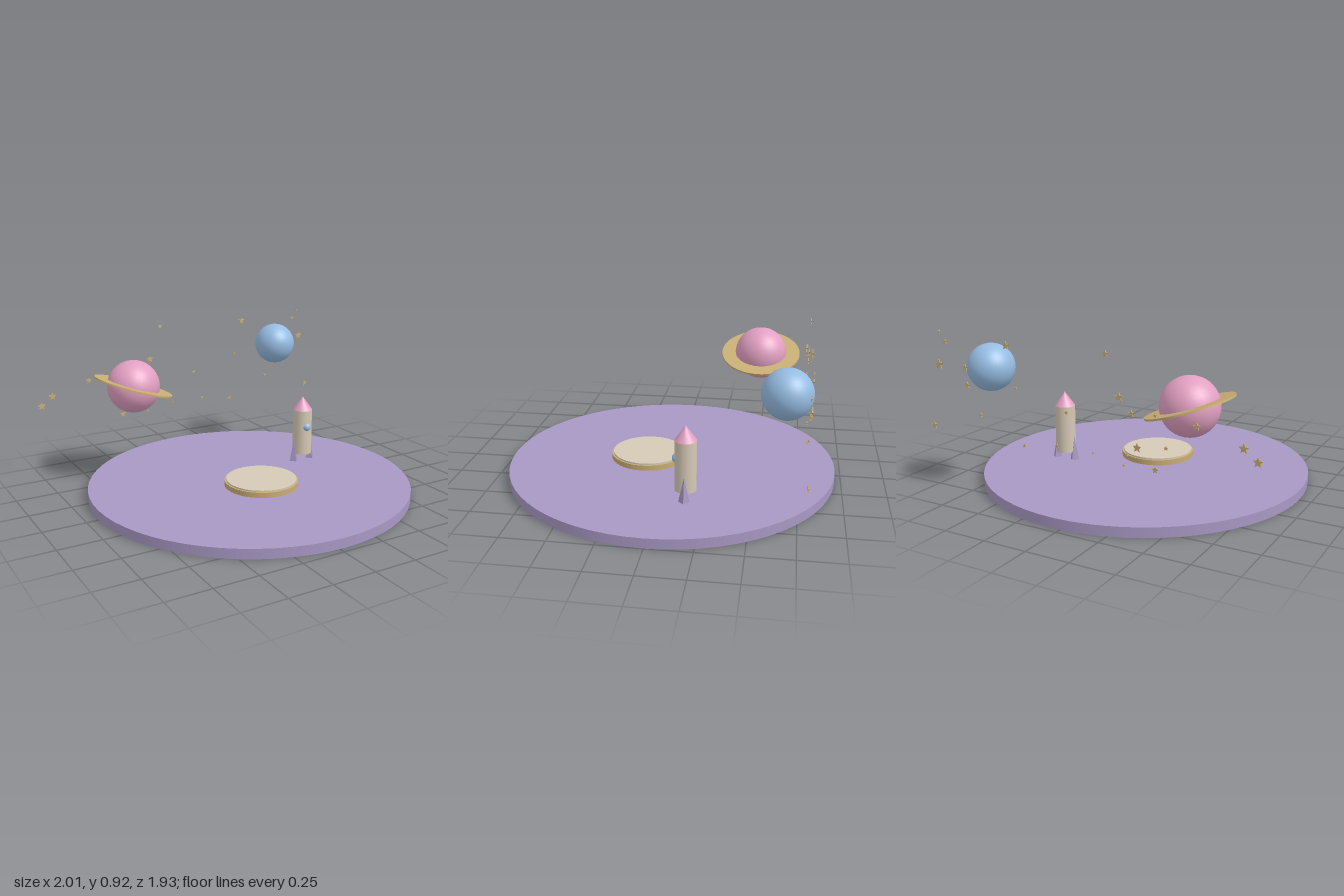
import * as THREE from 'three';

const material = (name, color) => {
  const m = new THREE.MeshStandardMaterial({ color });
  m.name = name;
  return m;
};

export function createModel() {
  const purple = material('lavender', 0xa898c4);
  const pink = material('pink', 0xe2a0c2);
  const blue = material('sky blue', 0x96bce2);
  const gold = material('gold', 0xc9ad74);
  const cream = material('cream', 0xd6c9b6);

  const model = new THREE.Group();
  model.name = 'spaceDiorama';

  const add = (parent, name, geometry, mat, x = 0, y = 0, z = 0) => {
    const mesh = new THREE.Mesh(geometry, mat);
    mesh.name = name;
    mesh.position.set(x, y, z);
    parent.add(mesh);
    return mesh;
  };
  const group = (name, x, y, z) => {
    const g = new THREE.Group();
    g.name = name;
    g.position.set(x, y, z);
    model.add(g);
    return g;
  };

  // Round base
  add(model, 'base', new THREE.CylinderGeometry(0.965, 0.965, 0.057, 64), purple, 0.035, 0.0285, 0);

  // Podium hovering just above the base
  const podium = group('podium', 0.033, 0, 0.144);
  add(podium, 'podiumRim', new THREE.CylinderGeometry(0.218, 0.218, 0.031, 48), gold, 0, 0.0875, 0);
  add(podium, 'podiumTop', new THREE.CylinderGeometry(0.208, 0.208, 0.022, 48), cream, 0, 0.101, 0);

  // Rocket with a nose cone, a porthole and two pyramid fins
  const rocket = group('rocket', 0.518, 0, -0.146);
  add(rocket, 'rocketBody', new THREE.CylinderGeometry(0.061, 0.061, 0.288, 24), cream, 0, 0.247, 0);
  add(rocket, 'noseCone', new THREE.ConeGeometry(0.061, 0.085, 24), pink, 0, 0.4335, 0);
  add(rocket, 'porthole', new THREE.SphereGeometry(0.028, 20, 14), blue, 0, 0.285, 0.047);
  const finGeometry = new THREE.ConeGeometry(0.031, 0.143, 4).toNonIndexed();
  finGeometry.computeVertexNormals();
  for (const [side, name] of [[-1, 'rightFin'], [1, 'leftFin']]) {
    add(rocket, name, finGeometry, purple, side * 0.062, 0.1275, 0);
  }

  // Ringed planet
  const ringed = group('ringedPlanet', -0.492, 0.597, -0.491);
  ringed.rotation.z = -0.313;
  add(ringed, 'planetBall', new THREE.SphereGeometry(0.16, 32, 20), pink);
  const ringShape = new THREE.Shape().absarc(0, 0, 0.243, 0, Math.PI * 2);
  ringShape.holes.push(new THREE.Path().absarc(0, 0, 0.155, 0, Math.PI * 2, true));
  const ringGeometry = new THREE.ExtrudeGeometry(ringShape, { depth: 0.01, bevelEnabled: false, curveSegments: 48 });
  ringGeometry.translate(0, 0, -0.005).rotateX(-Math.PI / 2);
  add(ringed, 'planetRing', ringGeometry, gold);

  // Small plain planet
  add(model, 'bluePlanet', new THREE.SphereGeometry(0.133, 32, 20), blue, 0.635, 0.718, -0.671);

  // Backdrop of thin five-pointed stars: x, y, radius
  const starShape = new THREE.Shape();
  for (let i = 0; i < 10; i++) {
    const r = i % 2 ? 0.45 : 1;
    const a = Math.PI / 2 + (i * Math.PI) / 5;
    starShape[i ? 'lineTo' : 'moveTo'](r * Math.cos(a), r * Math.sin(a));
  }
  starShape.closePath();
  const starGeometry = new THREE.ExtrudeGeometry(starShape, { depth: 1, bevelEnabled: false });
  starGeometry.translate(0, 0, -0.5);
  const stars = group('stars', 0, 0, -0.787);
  const places = [
    [-0.98, 0.466, 0.027], [-0.909, 0.521, 0.027], [-0.671, 0.591, 0.02],
    [-0.452, 0.34, 0.02], [-0.35, 0.438, 0.025], [-0.291, 0.393, 0.009],
    [-0.275, 0.334, 0.007], [-0.318, 0.607, 0.019], [-0.249, 0.682, 0.024],
    [-0.174, 0.89, 0.018], [-0.094, 0.371, 0.007], [0.064, 0.561, 0.013],
    [0.126, 0.374, 0.011], [0.337, 0.342, 0.013], [0.38, 0.652, 0.008],
    [0.436, 0.874, 0.024], [0.628, 0.473, 0.013], [0.853, 0.858, 0.015],
    [0.89, 0.912, 0.008], [0.906, 0.727, 0.028], [0.97, 0.369, 0.02],
    [0.72, 0.728, 0.018], [0.71, 0.63, 0.018], [-0.45, 0.615, 0.012],
    [-0.51, 0.46, 0.012],
  ];
  places.forEach(([x, y, r], i) => {
    add(stars, `star${i + 1}`, starGeometry, gold, x, y, 0).scale.set(r, r, 0.006);
  });

  return model;
}
